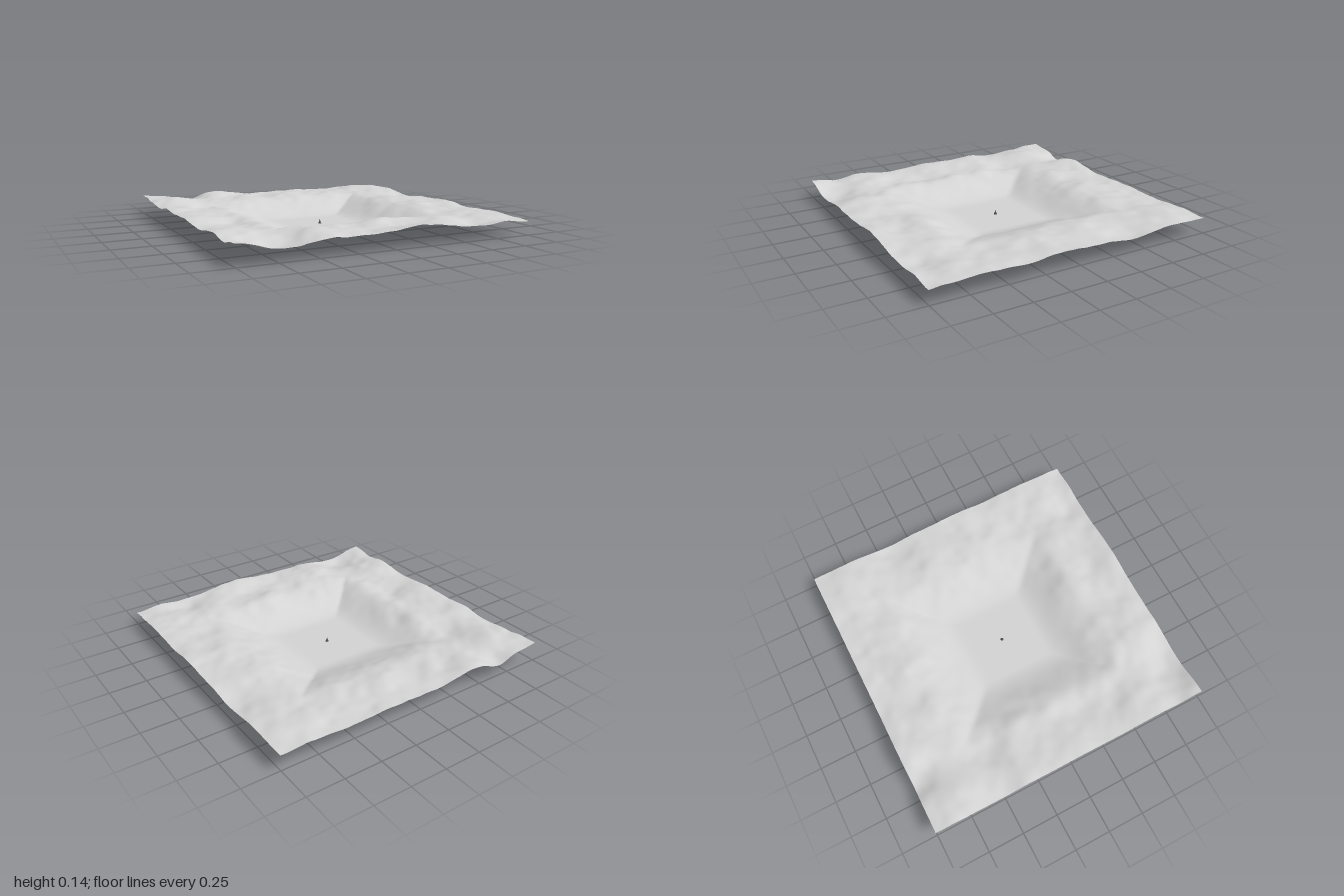
import * as THREE from 'three';

// Repeatable lattice value in -1..1
function hash(i, j) {
  const s = Math.sin(i * 127.1 + j * 311.7) * 43758.5453;
  return (s - Math.floor(s)) * 2 - 1;
}

// Smooth value noise
function noise(x, z) {
  const i = Math.floor(x), j = Math.floor(z);
  const u = THREE.MathUtils.smootherstep(x - i, 0, 1);
  const v = THREE.MathUtils.smootherstep(z - j, 0, 1);
  const { lerp } = THREE.MathUtils;
  return lerp(lerp(hash(i, j), hash(i + 1, j), u), lerp(hash(i, j + 1), hash(i + 1, j + 1), u), v);
}

// Main hills and hollows: x, z, radius, height
const HILLS = [
  // back strip
  [-1, -1, 0.2, 0.03], [-0.85, -0.75, 0.15, 0.03], [-0.67, -1, 0.11, -0.028],
  [-0.45, -0.95, 0.14, 0.038], [-0.3, -0.7, 0.13, 0.015], [0.05, -0.7, 0.15, 0.02],
  [0.4, -0.68, 0.14, 0.015], [0.82, -0.8, 0.17, 0.025],
  // left strip
  [-0.65, -0.5, 0.12, -0.025], [-0.95, -0.3, 0.18, 0.025], [-0.65, -0.15, 0.12, 0.012],
  [-0.95, 0.1, 0.15, 0.02], [-0.75, 0.22, 0.11, -0.02], [-0.55, 0.42, 0.12, 0.012],
  [-0.92, 0.6, 0.16, 0.03],
  // front strip
  [-1, 1, 0.12, 0.028], [-0.72, 0.92, 0.15, -0.038], [-0.4, 0.8, 0.17, 0.028],
  [0.12, 0.63, 0.13, 0.025], [0.17, 0.8, 0.09, -0.02], [0.2, 1, 0.17, 0.03],
  [0.5, 0.73, 0.12, 0.018], [0.64, 0.88, 0.12, -0.025], [0.85, 0.75, 0.13, 0.012],
  // right strip
  [0.95, -0.4, 0.13, -0.02], [0.7, -0.2, 0.17, 0.015], [0.7, 0.15, 0.15, 0.012],
  [0.7, 0.47, 0.11, -0.015], [1, 0.1, 0.15, 0.01], [1, 0.92, 0.1, -0.01],
];

// Height of the land: flat square basin rising to rolling ground
function heightAt(x, z) {
  let h = 0.104;
  for (const [hx, hz, r, a] of HILLS) h += a * Math.exp(-((x - hx) ** 2 + (z - hz) ** 2) / (r * r));
  // Fine roughness, turned a little so ridges run diagonally
  const a = 0.85 * x + 0.53 * z, b = 0.85 * z - 0.53 * x;
  h += 0.007 * noise(a * 9 + 11.7, b * 9 + 2.9);
  h += 0.003 * noise(a * 16 + 5.2, b * 16 + 8.4);
  const d = Math.max(Math.abs(x), Math.abs(z));
  return h * THREE.MathUtils.smoothstep(d, 0.24, 0.63);
}

export function createModel() {
  const group = new THREE.Group();
  group.name = 'terrain';

  const ground = new THREE.MeshStandardMaterial({ color: 0xd6d6d6, side: THREE.DoubleSide });
  ground.name = 'pale grey ground';
  const dark = new THREE.MeshStandardMaterial({ color: 0x5c5c5c });
  dark.name = 'dark grey marker';

  // Land sheet
  const geometry = new THREE.PlaneGeometry(2, 2, 100, 100).rotateX(-Math.PI / 2);
  const p = geometry.attributes.position;
  for (let i = 0; i < p.count; i++) p.setY(i, heightAt(p.getX(i), p.getZ(i)));
  geometry.computeVertexNormals();
  const land = new THREE.Mesh(geometry, ground);
  land.name = 'land';
  group.add(land);

  // Tiny cone standing at the middle of the basin
  const marker = new THREE.Mesh(new THREE.ConeGeometry(0.011, 0.03, 12), dark);
  marker.name = 'centreMarker';
  marker.position.y = 0.015;
  group.add(marker);

  return group;
}
